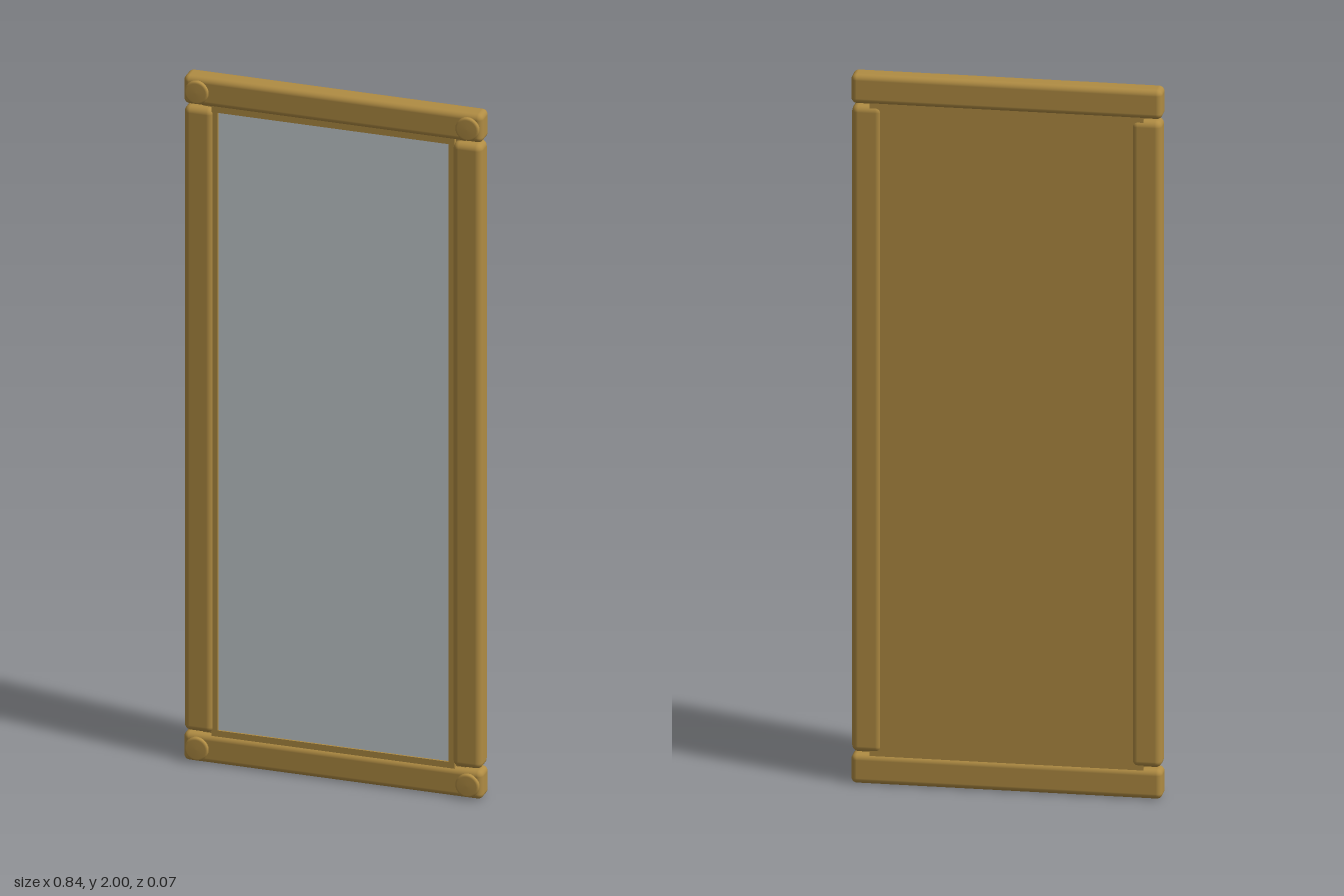
import * as THREE from 'three';
import { RoundedBoxGeometry } from 'three/addons/geometries/RoundedBoxGeometry.js';

export function createModel() {
  const model = new THREE.Group();
  model.name = 'framedMirror';
  const gold = new THREE.MeshStandardMaterial({ color: 0xb08c43 });
  gold.name = 'antique gold';
  const silver = new THREE.MeshStandardMaterial({ color: 0xc6ced2 });
  silver.name = 'mirror silver';

  const add = (name, geometry, material, x, y, z) => {
    const mesh = new THREE.Mesh(geometry, material);
    mesh.name = name;
    mesh.position.set(x, y, z);
    model.add(mesh);
    return mesh;
  };

  // Backing board closes the frame and bridges the joints
  add('backPanel', new THREE.BoxGeometry(0.74, 1.88, 0.036), gold, 0, 1, -0.012);

  // Mirror plate
  add('mirrorPlate', new THREE.BoxGeometry(0.652, 1.806, 0.006), silver, 0, 1, 0.01);

  // Thin inner trim around the mirror
  const rectangle = (target, w, h) => {
    target.moveTo(-w, -h);
    target.lineTo(w, -h);
    target.lineTo(w, h);
    target.lineTo(-w, h);
    target.closePath();
    return target;
  };
  const trim = rectangle(new THREE.Shape(), 0.342, 0.922);
  trim.holes.push(rectangle(new THREE.Path(), 0.325, 0.902));
  add('innerTrim', new THREE.ExtrudeGeometry(trim, { depth: 0.014, bevelEnabled: false }),
    gold, 0, 1, 0.004);

  // Upright stiles with softened edges
  const stile = new RoundedBoxGeometry(0.083, 1.824, 0.062, 4, 0.018);
  // Cross rails, a little longer than the opening, covering the corners
  const rail = new RoundedBoxGeometry(0.842, 0.083, 0.061, 4, 0.016);
  // Low domed corner studs
  const stud = new THREE.LatheGeometry([
    new THREE.Vector2(0.033, 0),
    new THREE.Vector2(0.033, 0.008),
    new THREE.Vector2(0.031, 0.0105),
    new THREE.Vector2(0.027, 0.0115),
    new THREE.Vector2(0, 0.012),
  ], 24);
  stud.rotateX(Math.PI / 2);

  for (const side of [-1, 1]) {
    add(side > 0 ? 'leftStile' : 'rightStile', stile, gold, side * 0.378, 1, -0.004);
    add(side > 0 ? 'topRail' : 'bottomRail', rail, gold, 0, 1 + side * 0.9585, -0.0055);
    for (const end of [-1, 1]) {
      add('cornerStud', stud, gold, end * 0.381, 1 + side * 0.9585, 0.0235);
    }
  }
  return model;
}
